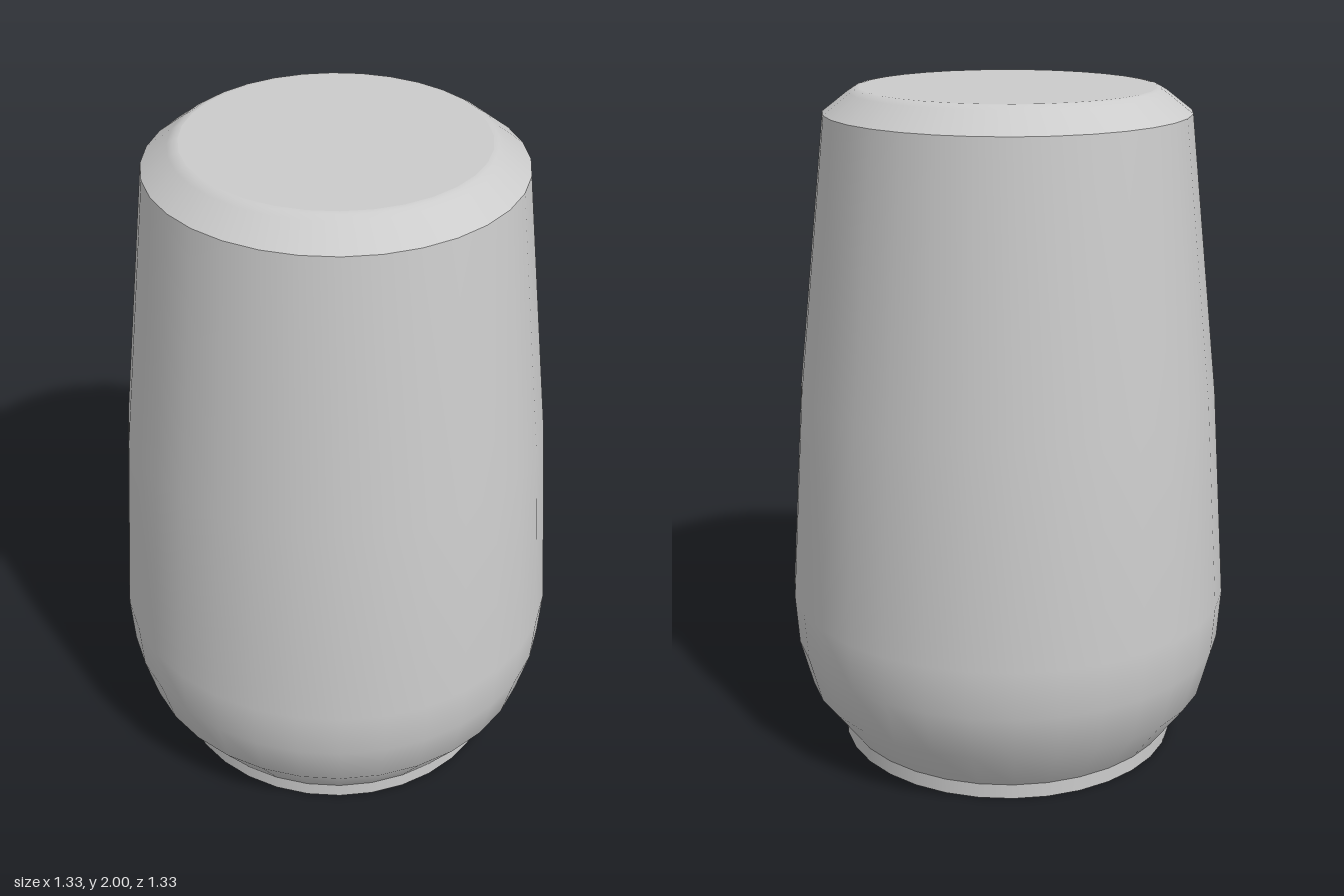
import * as THREE from 'three';

const SIDES = 32;
const material = new THREE.MeshStandardMaterial({ color: 0xcccccc });

// Revolve a profile of [radius, height] points; each section is smooth within itself
function revolve(name, profile) {
  const points = profile.map(([r, y]) => new THREE.Vector2(r, y));
  const mesh = new THREE.Mesh(new THREE.LatheGeometry(points, SIDES), material);
  mesh.name = name;
  return mesh;
}

export function createModel() {
  const group = new THREE.Group();
  group.name = 'taperedVessel';

  // Sections run from the recessed base up to the flat top, split at the sharp edges
  const sections = {
    baseFloor: [[0, 0.09], [0.488, 0.09]],
    recessWall: [[0.488, 0.09], [0.488, 0]],
    footRim: [[0.488, 0], [0.515, 0]],
    footRing: [[0.515, 0], [0.515, 0.045]],
    body: [[0.515, 0.045], [0.617, 0.185], [0.655, 0.33], [0.665, 0.48], [0.62, 1.12], [0.53, 1.93]],
    topBevel: [[0.53, 1.93], [0.455, 1.988], [0.438, 1.998], [0.425, 2]],
    topFace: [[0.425, 2], [0, 2]],
  };
  for (const [name, profile] of Object.entries(sections)) group.add(revolve(name, profile));

  return group;
}
